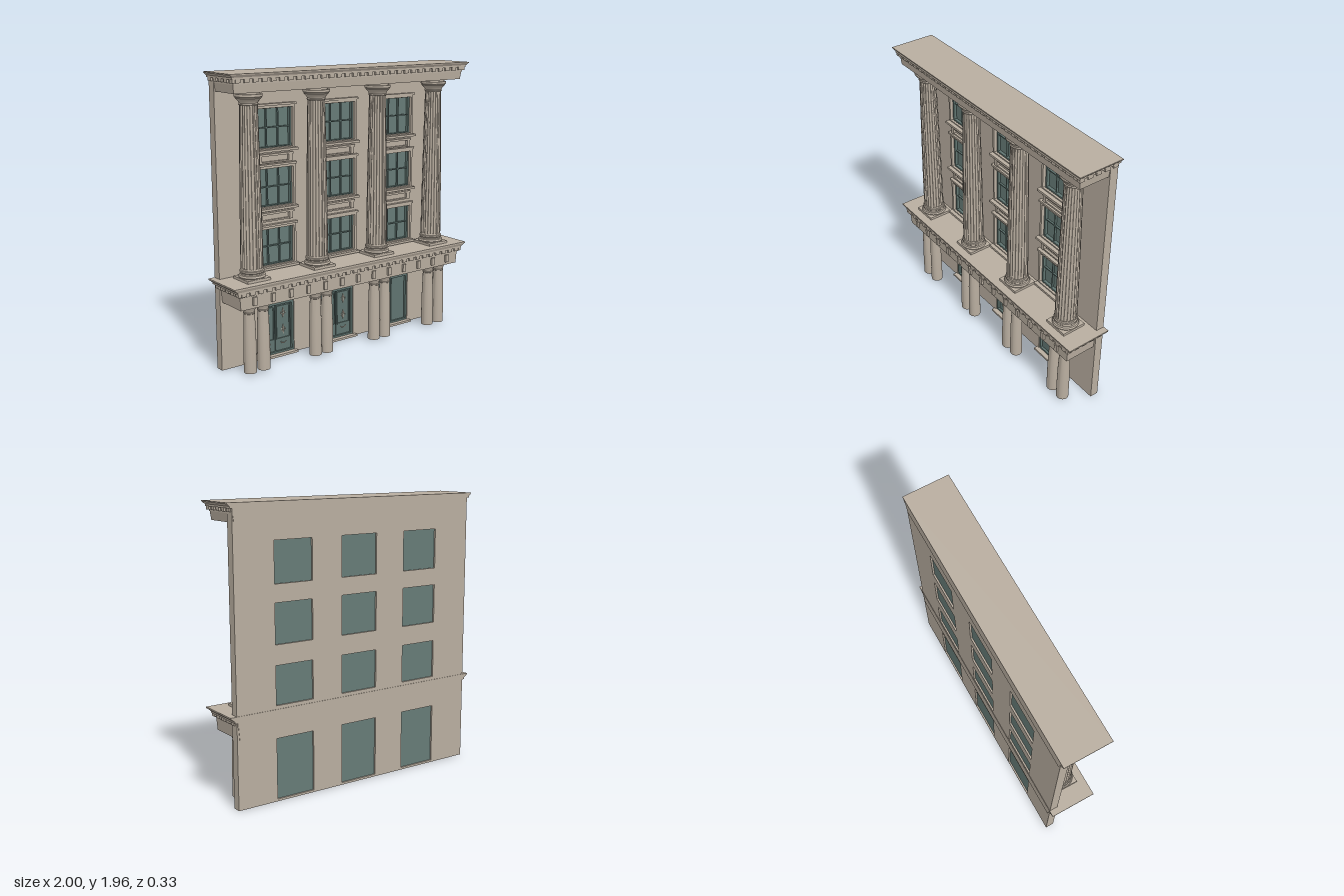
import * as THREE from 'three';
import { toCreasedNormals } from 'three/addons/utils/BufferGeometryUtils.js';

const material = (name, color) => new THREE.MeshStandardMaterial({ name, color });

export function createModel() {
  const stone = material('stone', 0xb9aea0);
  const glass = material('tealGlass', 0x667b77);
  const paint = material('tealPaint', 0x5f7470);
  const model = new THREE.Group();
  model.name = 'facade';

  const add = (name, geometry, mat, parent = model, x = 0, y = 0, z = 0) => {
    const mesh = new THREE.Mesh(geometry, mat);
    mesh.name = name;
    mesh.position.set(x, y, z);
    parent.add(mesh);
    return mesh;
  };
  // Box given by its limits
  const box = (name, x0, x1, y0, y1, z0, z1, mat = stone, parent = model) =>
    add(name, new THREE.BoxGeometry(x1 - x0, y1 - y0, z1 - z0), mat, parent,
      (x0 + x1) / 2, (y0 + y1) / 2, (z0 + z1) / 2);
  const group = (name, x = 0) => {
    const g = new THREE.Group();
    g.name = name;
    g.position.x = x;
    model.add(g);
    return g;
  };
  const lathe = (points, segments) => toCreasedNormals(
    new THREE.LatheGeometry(points.map(p => new THREE.Vector2(...p)), segments), 0.6);
  const rect = (Type, x0, x1, y0, y1) => {
    const s = new Type();
    s.moveTo(x0, y0).lineTo(x1, y0).lineTo(x1, y1).lineTo(x0, y1).closePath();
    return s;
  };
  // Flat rectangular frame around an opening
  const frame = (name, w, y0, y1, t, z0, z1, mat, parent) => {
    const s = rect(THREE.Shape, -w, w, y0, y1);
    s.holes.push(rect(THREE.Path, -w + t, w - t, y0 + t, y1 - t));
    return add(name, new THREE.ExtrudeGeometry(s, { depth: z1 - z0, bevelEnabled: false }),
      mat, parent, 0, 0, z0);
  };

  const bays = [-0.52, 0, 0.52];
  const floors = [[0.65, 0.915], [1.05, 1.32], [1.44, 1.715]];
  const back = -0.16, face = -0.1, half = 0.143;

  // Wall with door and window openings
  const wall = rect(THREE.Shape, -0.955, 0.955, 0, 1.9);
  for (const x of bays) {
    for (const [y0, y1] of [[0.015, 0.43], ...floors]) {
      wall.holes.push(rect(THREE.Path, x - half, x + half, y0, y1));
    }
  }
  add('wall', new THREE.ExtrudeGeometry(wall, { depth: face - back, bevelEnabled: false }),
    stone, model, 0, 0, back);

  // Windows
  for (const x of bays) {
    floors.forEach(([y0, y1], i) => {
      const g = group('window', x);
      box('pane', -half, half, y0, y1, -0.148, -0.128, glass, g);
      frame('sash', half, y0, y1, 0.012, -0.128, -0.106, paint, g);
      for (const m of [-0.045, 0.045]) box('mullion', m - 0.004, m + 0.004, y0, y1, -0.128, -0.114, paint, g);
      const mid = (y0 + y1) / 2;
      box('transom', -half, half, mid - 0.004, mid + 0.004, -0.128, -0.115, paint, g);
      frame('surround', half + 0.016, y0 - 0.008, y1 + 0.008, 0.016, face, -0.083, stone, g);
      box('lintel', -0.168, 0.168, y1 + 0.008, y1 + 0.022, face, -0.075, stone, g);
      box('sill', -0.165, 0.165, y0 - 0.016, y0, face, -0.055, stone, g);
      if (i === 0) return;
      // Raised panel beneath the sill
      const p0 = y0 - 0.092, p1 = y0 - 0.03;
      box('panelTop', -0.14, 0.14, p1 - 0.014, p1, face, -0.076, stone, g);
      box('panelFoot', -0.125, 0.125, p0, p0 + 0.01, face, -0.084, stone, g);
      for (const s of [-1, 1]) {
        box('panelBracket', s * 0.12 - 0.013, s * 0.12 + 0.013, p0, p1 - 0.014, face, -0.08, stone, g);
      }
    });
  }

  // Doors
  bays.forEach((x, i) => {
    const g = group('door', x);
    box('doorBack', -half, half, 0.015, 0.43, -0.148, -0.13, glass, g);
    frame('doorFrame', half, 0.015, 0.43, 0.013, -0.13, -0.106, paint, g);
    box('doorTransom', -0.13, 0.13, 0.362, 0.378, -0.13, -0.106, paint, g);
    box('transomPanel', -0.125, 0.125, 0.386, 0.41, -0.13, -0.122, glass, g);
    box('threshold', -0.16, 0.16, 0, 0.015, face, -0.072, stone, g);
    for (const s of [-1, 1]) {
      const c = s * 0.065;
      box('leaf', c - 0.062, c + 0.062, 0.02, 0.36, -0.13, -0.122, paint, g);
      if (i === 2) continue;
      const panel = frame('leafMoulding', 0.056, 0.11, 0.35, 0.007, -0.122, -0.114, paint, g);
      panel.position.x = c;
      add('handle', new THREE.TorusGeometry(0.026, 0.003, 6, 12, Math.PI * 0.7), stone, g, c, 0.103, -0.116)
        .rotation.z = Math.PI * 1.15;
      // Stylised leaf ornaments
      for (const y of [0.295, 0.175]) {
        for (const [dx, dy, r] of [[-0.01, 0, 0.008], [0.01, 0, 0.008], [0, 0.016, 0.006], [0, -0.016, 0.006]]) {
          add('ornamentScroll', new THREE.TorusGeometry(r, 0.0022, 5, 10), stone, g, c + dx, y + dy, -0.119);
        }
        box('ornamentStem', c - 0.002, c + 0.002, y - 0.034, y + 0.034, -0.122, -0.117, stone, g);
      }
    }
  });

  // Entablature course whose front and ends may slope between two outlines
  const course = (name, y0, y1, [w0, z0], [w1, z1] = [w0, z0]) => {
    const geo = new THREE.BoxGeometry(2, y1 - y0, 1);
    const p = geo.attributes.position;
    for (let i = 0; i < p.count; i++) {
      const top = p.getY(i) > 0;
      p.setX(i, p.getX(i) * (top ? w1 : w0));
      p.setZ(i, p.getZ(i) > 0 ? (top ? z1 : z0) : -0.163);
    }
    geo.computeVertexNormals();
    return add(name, geo, stone, model, 0, (y0 + y1) / 2, 0);
  };
  const dentils = (w, z, y0, y1) => {
    const n = 30, step = 2 * w / n;
    for (let i = 0; i < n; i++) {
      const x = -w + (i + 0.5) * step;
      box('dentil', x - 0.018, x + 0.018, y0, y1, z - 0.02, z);
    }
    for (const s of [-1, 1]) {
      for (let k = 0; k < 5; k++) {
        const zc = z - 0.018 - k * step;
        box('endDentil', s * w - 0.01, s * w + 0.01, y0, y1, zc - 0.018, zc + 0.018);
      }
    }
  };

  // Upper entablature
  course('upperFrieze', 1.835, 1.89, [0.945, 0.12], [0.952, 0.125]);
  course('upperBed', 1.89, 1.925, [0.955, 0.13]);
  dentils(0.958, 0.143, 1.9, 1.922);
  course('upperCorona', 1.922, 1.935, [0.972, 0.148]);
  course('upperCornice', 1.935, 1.95, [0.975, 0.15], [0.99, 0.16]);
  course('upperFillet', 1.95, 1.957, [0.99, 0.162]);

  // Lower entablature with frieze blocks
  course('lowerFrieze', 0.468, 0.555, [0.938, 0.13], [0.945, 0.133]);
  course('lowerBed', 0.555, 0.59, [0.95, 0.14]);
  dentils(0.955, 0.152, 0.563, 0.584);
  course('lowerCorona', 0.584, 0.598, [0.97, 0.153]);
  course('lowerCornice', 0.598, 0.616, [0.975, 0.155], [0.995, 0.163]);
  course('lowerFillet', 0.616, 0.626, [1, 0.165]);
  for (let i = -6; i <= 6; i++) {
    const x = i * 0.1395;
    box('friezeBlock', x - 0.014, x + 0.014, 0.49, 0.545, 0.12, 0.146);
  }

  // Fluted shaft: a tapering cylinder whose radius dips between the ridges
  const y0 = 0.7, y1 = 1.76, flutes = 22;
  const shaft = new THREE.CylinderGeometry(1, 1, y1 - y0, flutes * 6, 8, true);
  const sp = shaft.attributes.position;
  for (let i = 0; i < sp.count; i++) {
    const t = sp.getY(i) / (y1 - y0) + 0.5;
    const a = Math.atan2(sp.getZ(i), sp.getX(i));
    const r = (0.074 - 0.016 * t ** 1.4) * (1 - 0.09 * Math.abs(Math.sin(a * flutes / 2)));
    sp.setX(i, Math.cos(a) * r);
    sp.setZ(i, Math.sin(a) * r);
  }
  shaft.computeVertexNormals();
  const base = lathe([[0, 0.643], [0.085, 0.643], [0.09, 0.652], [0.085, 0.664], [0.077, 0.668],
    [0.076, 0.676], [0.081, 0.682], [0.08, 0.691], [0.074, 0.695], [0.072, 0.705], [0, 0.705]], 40);
  const capital = lathe([[0, 1.752], [0.06, 1.752], [0.064, 1.758], [0.06, 1.765], [0.063, 1.774],
    [0.074, 1.786], [0.084, 1.796], [0.084, 1.802], [0.09, 1.806], [0.09, 1.822], [0.075, 1.822],
    [0.075, 1.837], [0, 1.837]], 40);
  for (const x of [-0.78, -0.26, 0.26, 0.78]) {
    const g = group('upperColumn', x);
    g.position.z = 0.018;
    box('plinth', -0.088, 0.088, 0.624, 0.644, -0.088, 0.088, stone, g);
    add('columnBase', base, stone, g);
    add('flutedShaft', shaft, stone, g, 0, (y0 + y1) / 2);
    add('capital', capital, stone, g);
  }

  // Paired plain columns at street level
  const plain = lathe([[0, 0.012], [0.043, 0.012], [0.043, 0.15], [0.041, 0.28], [0.036, 0.415],
    [0.039, 0.418], [0.039, 0.425], [0.036, 0.428], [0.037, 0.438], [0.046, 0.452],
    [0.048, 0.456], [0.048, 0.47], [0, 0.47]], 32);
  for (const x of [0.21, 0.307, 0.727, 0.832]) {
    for (const s of [-1, 1]) add('lowerColumn', plain, stone, model, s * x, 0, 0.055);
  }
  return model;
}
